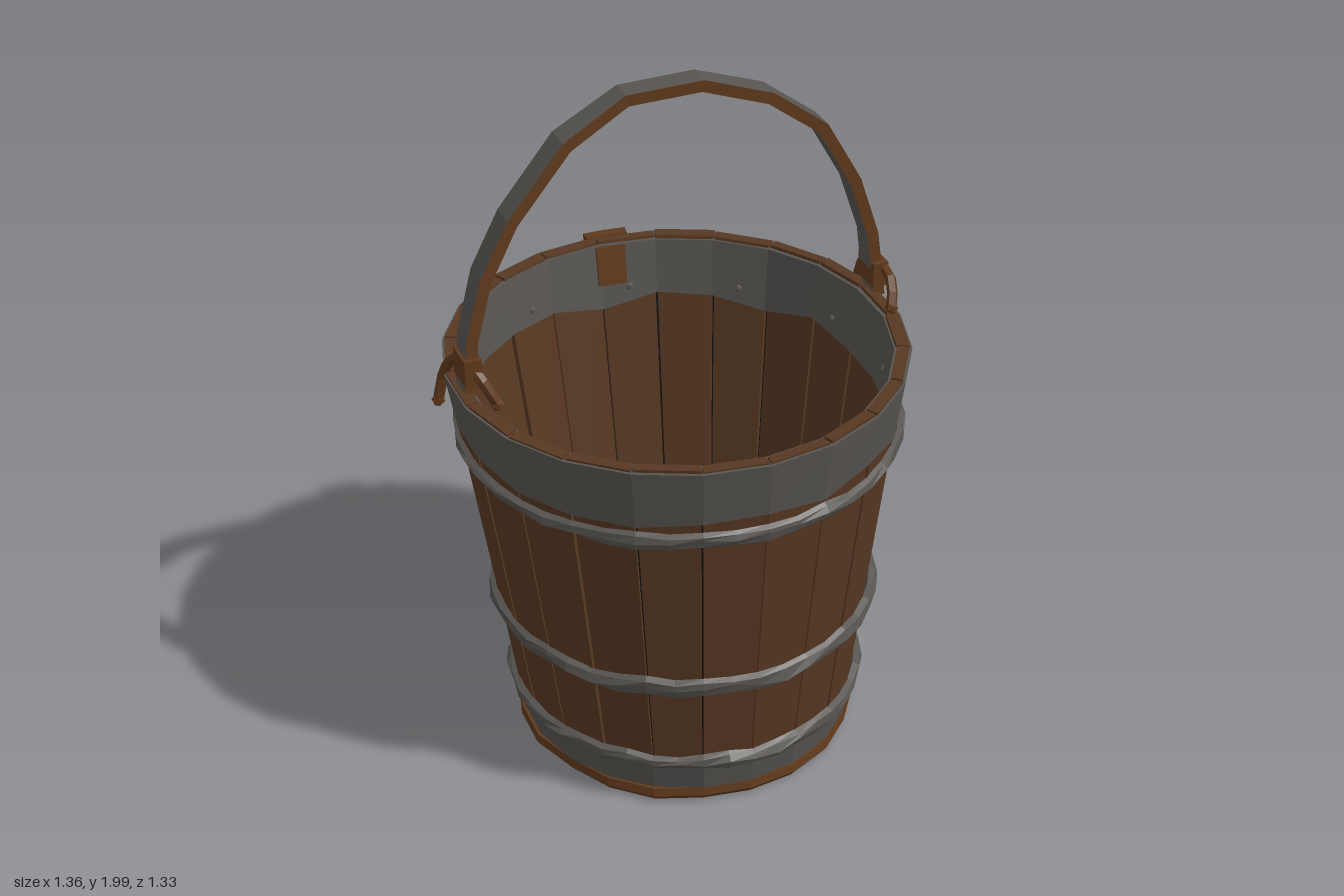
import * as THREE from 'three';

const mat = (name, color) => {
  const m = new THREE.MeshStandardMaterial({ color, flatShading: true });
  m.name = name;
  return m;
};

const N = 22;                                   // staves around the bucket
const STEP = (Math.PI * 2) / N;
const R = (y) => 0.485 + 0.135 * y;             // outer wall radius at a height

// Point on the slightly leaning bucket
const polar = (a, r, y) => {
  const lean = 1 - y / 1.23;
  return new THREE.Vector3(Math.sin(a) * r + 0.003 + 0.015 * lean, y, Math.cos(a) * r + 0.036 * lean);
};

// Skin a row of matching cross-sections; sides picks which strips to build
function loft(sections, { caps = true, sides = null } = {}) {
  const pos = [];
  const tri = (...pts) => pts.forEach((p) => pos.push(p.x, p.y, p.z));
  const n = sections[0].length;
  for (let i = 0; i < sections.length - 1; i++) {
    const s = sections[i], t = sections[i + 1];
    for (let j = 0; j < n; j++) {
      if (sides && !sides.includes(j)) continue;
      const k = (j + 1) % n;
      tri(s[j], t[j], t[k]);
      tri(s[j], t[k], s[k]);
    }
  }
  if (caps) {
    const a = sections[0], b = sections[sections.length - 1];
    for (let j = 1; j < n - 1; j++) {
      tri(a[0], a[j], a[j + 1]);
      tri(b[0], b[j + 1], b[j]);
    }
  }
  const g = new THREE.BufferGeometry();
  g.setAttribute('position', new THREE.Float32BufferAttribute(pos, 3));
  g.computeVertexNormals();
  return g;
}

// Wall piece between two angles: inner and outer offsets from R, bottom and top heights
function arc(a0, a1, segs, inn, out, y0, y1) {
  const sections = [];
  for (let i = 0; i <= segs; i++) {
    const a = a0 + ((a1 - a0) * i) / segs;
    sections.push([[out, y0], [out, y1], [inn, y1], [inn, y0]].map(([d, y]) => polar(a, R(y) + d, y)));
  }
  return loft(sections);
}

// Full ring whose section comes from a function of the segment index
function ring(segs, profile) {
  const sections = [];
  for (let i = 0; i < segs; i++) {
    sections.push(profile(i).map(([d, y]) => polar((i / segs) * Math.PI * 2, R(y) + d, y)));
  }
  sections.push(sections[0]);
  return loft(sections, { caps: false });
}

export function createModel() {
  const wood = mat('wood', 0x573822);
  const trim = mat('reddish wood', 0x5f391c);
  const iron = mat('iron', 0x575450);
  const dark = mat('dark interior', 0x121212);

  let seed = 7;
  const rnd = () => (seed = (seed * 16807) % 2147483647) / 2147483647;
  const jit = (s) => (rnd() - 0.5) * 2 * s;

  const model = new THREE.Group();
  model.name = 'bucket';
  const add = (name, geo, material, parent = model) => {
    const m = new THREE.Mesh(geo, material);
    m.name = name;
    parent.add(m);
    return m;
  };

  // Staves with narrow gaps, backed by a dark liner
  const staves = new THREE.Group();
  staves.name = 'staves';
  model.add(staves);
  for (let i = 0; i < N; i++) {
    const gap = 0.003 + rnd() * 0.004;
    add('stave', arc(i * STEP + gap, (i + 1) * STEP - gap, 1, -0.034 + jit(0.004), jit(0.003), 0.03, 1.232 + jit(0.003)), wood, staves);
  }
  add('seamLiner', ring(N, () => [[-0.016, 0.05], [-0.016, 1.2], [-0.02, 1.2], [-0.02, 0.05]]), dark);
  add('lowerLining', ring(N, () => [[-0.039, 0.06], [-0.039, 0.42 + jit(0.04)], [-0.044, 0.42], [-0.044, 0.06]]), dark);

  // Wide rim band, outside and inside
  add('rimBand', ring(N, () => {
    const low = 1.05 + jit(0.02);
    return [[0.004, low], [0.008, 1.225], [-0.005, 1.225], [-0.005, low]];
  }), iron);
  add('innerRimBand', ring(N, () => {
    const low = 1.04 + jit(0.02);
    return [[-0.03, low], [-0.03, 1.222], [-0.042, 1.222], [-0.042, low]];
  }), iron);

  // Battered hoops
  const hoop = (name, y0, y1, d) => add(name, ring(N * 2, () => {
    const a = y0 + jit(0.008), b = y1 + jit(0.008), m = (a + b) / 2 + jit(0.012);
    return [[0, a], [d * 0.7 + jit(0.004), a + 0.008], [d + jit(0.006), m],
      [d * 0.7 + jit(0.004), b - 0.008], [0, b], [-0.01, m]];
  }), iron);
  hoop('upperHoop', 0.968, 1.022, 0.02);
  hoop('middleHoop', 0.42, 0.482, 0.024);
  hoop('lowerHoop', 0.125, 0.178, 0.024);
  add('footBand', ring(N, () => [[-0.005, 0.04], [0.004, 0.045], [0.008, 0.14], [-0.01, 0.14]]), iron);
  add('footRim', ring(N, () => {
    const d = 0.017 + jit(0.007);
    return [[d - 0.012, 0], [d, 0.02], [d - 0.008, 0.045], [-0.02, 0.045], [-0.04, 0.012]];
  }), trim);

  // Strap down the back, in alternating pieces
  const strap = (name, y0, y1, d, material) => {
    const half = 0.062 / R((y0 + y1) / 2);
    const mid = Math.PI - 0.06;
    add(name, arc(mid - half, mid + half, 2, -0.01, d, y0, y1), material);
  };
  strap('strapTop', 1.0, 1.236, 0.022, trim);
  strap('strapUpper', 0.47, 1.0, 0.012, iron);
  strap('strapLower', 0.17, 0.43, 0.012, iron);
  strap('strapFoot', 0.02, 0.17, 0.026, trim);

  // Floor with two open slits: wooden underside, dark upper face
  const disc = new THREE.Shape();
  for (let i = 0; i < N; i++) {
    const x = Math.sin(i * STEP) * 0.462, y = Math.cos(i * STEP) * 0.462;
    if (i) disc.lineTo(x, y); else disc.moveTo(x, y);
  }
  for (const [x0, x1] of [[-0.393, -0.363], [0.362, 0.397]]) {
    const h = new THREE.Path();
    // Ends are kept inside the disc edge
    const z0 = -0.23, z1 = 0.23;
    h.moveTo(x0, z0);
    h.lineTo(x0, z1);
    h.lineTo(x1, z1);
    h.lineTo(x1, z0);
    h.closePath();
    disc.holes.push(h);
  }
  const floor = (name, y, depth, material) => {
    const g = new THREE.ExtrudeGeometry(disc, { depth, bevelEnabled: false });
    g.rotateX(-Math.PI / 2);
    add(name, g, material).position.set(0.018, y, 0.035);
  };
  floor('floorUnderside', 0.014, 0.04, wood);
  floor('floorTop', 0.054, 0.03, dark);
  for (const x of [-0.26, -0.13, 0, 0.13, 0.26]) {
    const len = 2 * Math.sqrt(0.44 * 0.44 - x * x);
    add('floorSeam', new THREE.BoxGeometry(0.005, 0.004, len), dark).position.set(x + 0.018, 0.0135, 0.035);
  }

  // Bent handle: iron faces, wooden edges
  const path = [[-0.615, 1.22, 0.0], [-0.6, 1.38, -0.01], [-0.55, 1.55, -0.025], [-0.465, 1.7, -0.04],
    [-0.3, 1.885, -0.06], [-0.12, 1.978, -0.075], [0.1, 1.978, -0.083], [0.3, 1.905, -0.085],
    [0.46, 1.785, -0.085], [0.565, 1.6, -0.082], [0.625, 1.42, -0.077], [0.65, 1.22, -0.07]]
    .map((p) => new THREE.Vector3(...p));
  const bow = path.map((p, i) => {
    const t = path[Math.min(i + 1, path.length - 1)].clone().sub(path[Math.max(i - 1, 0)]);
    const out = new THREE.Vector3(-t.y, t.x, 0).normalize();
    const w = 0.038 + jit(0.003), h = 0.017;
    return [[w, -h], [w, h], [-w, h], [-w, -h]].map(([z, o]) => {
      const q = p.clone().addScaledVector(out, o);
      q.z += z;
      return q;
    });
  });
  add('handleFaces', loft(bow, { sides: [1, 3], caps: false }), iron);
  add('handleEdges', loft(bow, { sides: [0, 2] }), trim);

  // Hooks tying the handle to the rim
  const hook = (name, pts, r) => {
    const v = pts.map((p) => new THREE.Vector3(...p));
    add(name, new THREE.TubeGeometry(new THREE.CatmullRomCurve3(v), 10, r, 5), trim);
    for (const end of [v[0], v[v.length - 1]]) {
      add(name + 'End', new THREE.IcosahedronGeometry(r * 1.25, 0), trim).position.copy(end);
    }
  };
  hook('leftHook', [[0.635, 1.24, 0.075], [0.655, 1.3, 0.03], [0.66, 1.31, -0.09], [0.665, 1.25, -0.18], [0.665, 1.12, -0.215]], 0.016);
  hook('rightHook', [[-0.55, 1.2, 0.07], [-0.59, 1.28, 0.05], [-0.615, 1.31, -0.03], [-0.64, 1.24, -0.1], [-0.66, 1.13, -0.12]], 0.016);
  add('leftClamp', new THREE.BoxGeometry(0.046, 0.075, 0.1), trim).position.set(0.645, 1.295, -0.07);
  add('rightClamp', new THREE.BoxGeometry(0.05, 0.08, 0.1), trim).position.set(-0.605, 1.295, -0.005);

  // Rivets inside the rim
  for (let i = 0; i < N; i += 2) {
    const y = 1.1 + jit(0.02);
    add('rivet', new THREE.IcosahedronGeometry(0.013, 0), iron).position.copy(polar((i + 0.5) * STEP, R(y) - 0.045, y));
  }
  add('innerStrapEnd', arc(Math.PI - 0.13, Math.PI + 0.02, 1, -0.052, -0.04, 1.1, 1.22), trim);

  return model;
}
